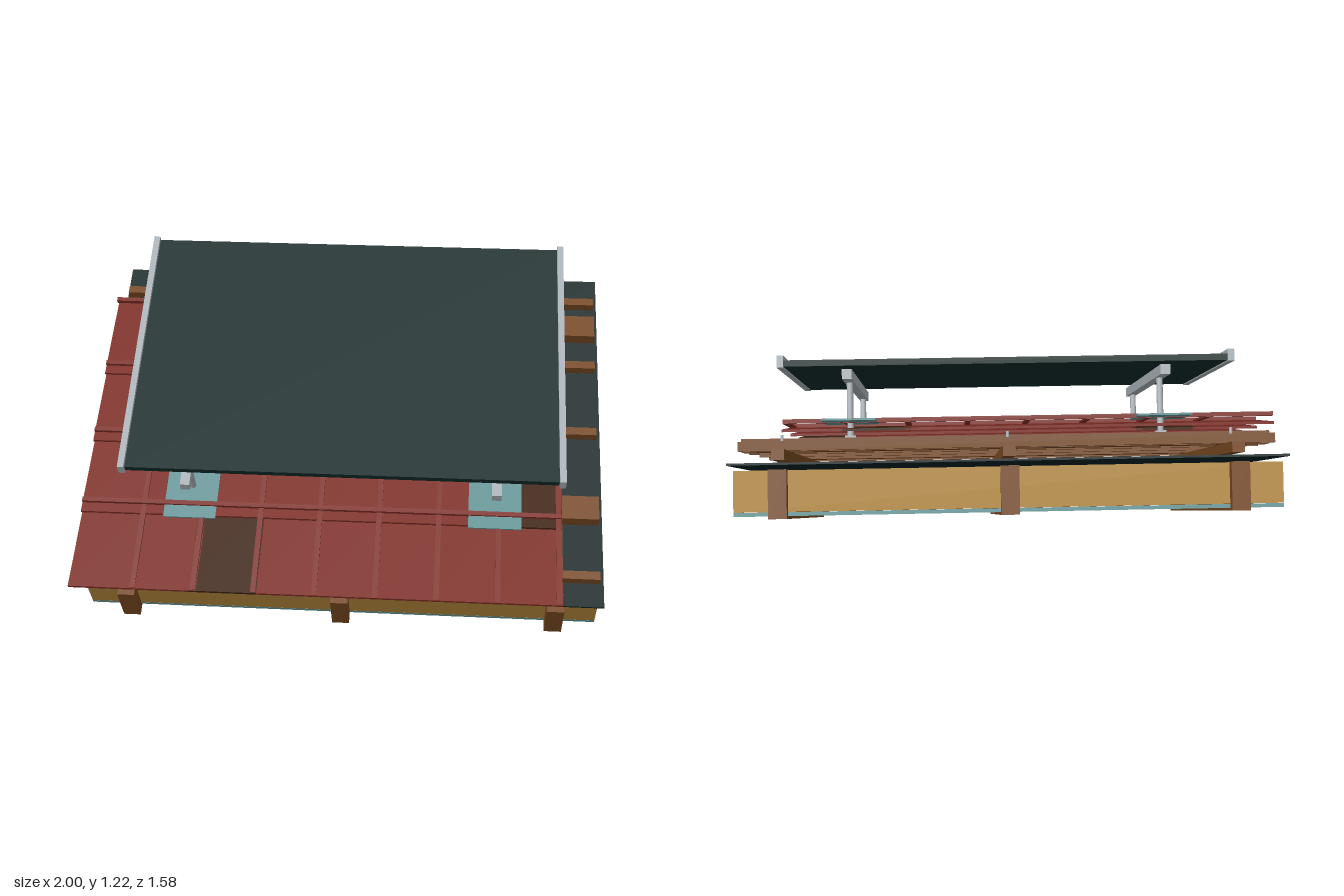
import * as THREE from 'three';

const mat = (name, color) => {
  const m = new THREE.MeshStandardMaterial({ color });
  m.name = name;
  return m;
};

export function createModel() {
  const ochre = mat('insulation ochre', 0xac8238);
  const wood = mat('timber brown', 0x74471f);
  const teal = mat('sheet teal', 0x629193);
  const membraneDark = mat('membrane dark', 0x071f21);
  const panelDark = mat('panel dark', 0x102927);
  const tileRed = mat('tile red', 0x7c2d25);
  const tileBrown = mat('tile brown', 0x3f220e);
  const metal = mat('metal grey', 0xa8afb4);

  const model = new THREE.Group();
  model.name = 'roofSection';
  // Everything is laid out flat (y = height off the slope, z = down the slope), then pitched 30 degrees
  const roof = new THREE.Group();
  roof.name = 'pitchedRoof';
  roof.rotation.x = Math.PI / 6;
  model.add(roof);

  // Box given by its extents
  const slab = (name, material, x0, x1, y0, y1, z0, z1) => {
    const mesh = new THREE.Mesh(new THREE.BoxGeometry(x1 - x0, y1 - y0, z1 - z0), material);
    mesh.position.set((x0 + x1) / 2, (y0 + y1) / 2, (z0 + z1) / 2);
    mesh.name = name;
    roof.add(mesh);
    return mesh;
  };

  // Insulation, lining and membrane
  slab('insulation', ochre, -0.98, 0.98, 0.305, 0.453, -1.03, 0.443);
  slab('lining', teal, -0.98, 0.98, 0.29, 0.304, -1.03, 0.443);
  slab('membrane', membraneDark, -1, 1, 0.471, 0.479, -1.06, 0.47);

  // Rafters with counter battens above
  const rafterX = [-0.82, 0, 0.82];
  for (const x of rafterX) {
    slab('rafter', wood, x - 0.033, x + 0.033, 0.28, 0.455, -1.073, 0.485);
    slab('counterBatten', wood, x - 0.023, x + 0.023, 0.489, 0.527, -1.04, 0.453);
  }

  // Tile battens, screwed to each counter batten
  for (const z of [0.379, -0.255, -0.573, -0.891]) {
    slab('tileBatten', wood, -0.98, 0.98, 0.527, 0.562, z - 0.017, z + 0.017);
    for (const x of rafterX) {
      const screw = new THREE.Mesh(new THREE.CylinderGeometry(0.006, 0.006, 0.03, 10), metal);
      screw.position.set(x, 0.57, z);
      screw.name = 'screw';
      roof.add(screw);
    }
  }

  // Overlapping tiles with side ribs, a few in a darker colour
  const pitch = 0.2255, course = 0.3177, tileW = 0.254;
  const darkTiles = ['0,2', '1,7', '2,1', '3,6'];
  for (let r = 0; r < 4; r++) {
    const front = 0.545 - r * course;
    for (let c = 0; c < 8; c++) {
      const x0 = -1 + c * pitch;
      const m = darkTiles.includes(`${r},${c}`) ? tileBrown : tileRed;
      const tile = slab('tile', m, x0, x0 + tileW, 0.614, 0.624, front - 0.392, front);
      tile.rotation.x = -0.074;
      slab('tileRib', tileRed, x0 + tileW - 0.023, x0 + tileW - 0.003, 0.631, 0.64, front - 0.375, front - 0.005);
    }
    slab('tileHeadRib', tileRed, -1, 0.83, 0.632, 0.648, front - 0.376, front - 0.358);
  }

  // Mounting planks, flashings and posts
  for (const z of [0.098, -0.756]) {
    slab('mountingPlank', wood, -0.98, 0.98, 0.527, 0.576, z - 0.05, z + 0.05);
    for (const x of [-0.58, 0.58]) {
      slab('flashing', teal, x - 0.1, x + 0.1, 0.634, 0.641, z - 0.14, z + 0.14);
      slab('footPlate', metal, x - 0.02, x + 0.02, 0.576, 0.584, z - 0.02, z + 0.02);
      const post = new THREE.Mesh(new THREE.CylinderGeometry(0.012, 0.012, 0.208, 16), metal);
      post.position.set(x, 0.682, z);
      post.name = 'post';
      roof.add(post);
    }
  }

  // Rails, side frames and the panel they carry
  for (const s of [-1, 1]) {
    slab('rail', metal, s * 0.58 - 0.018, s * 0.58 + 0.018, 0.782, 0.818, -0.925, 0.197);
    slab('panelSideFrame', metal, s * 0.82 - 0.012, s * 0.82 + 0.012, 0.826, 0.87, -0.935, 0.16);
  }
  slab('panel', panelDark, -0.808, 0.808, 0.83, 0.853, -0.93, 0.15);

  return model;
}
